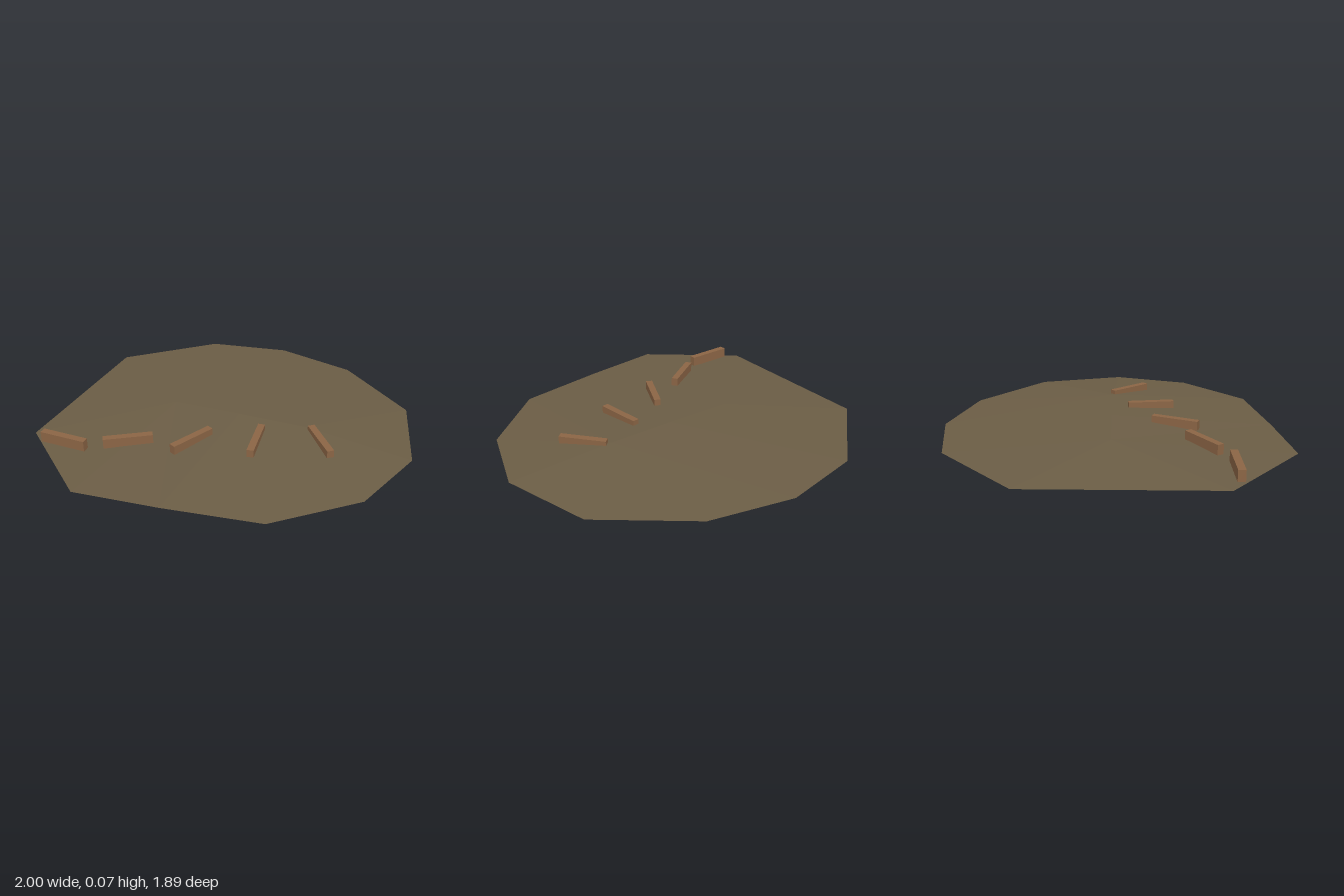
import * as THREE from 'three';

const soil = new THREE.MeshStandardMaterial({ color: 0x6b5d45 });
soil.name = 'soil';
soil.flatShading = true;
const wood = new THREE.MeshStandardMaterial({ color: 0x8b6545 });
wood.name = 'wood';

// Low earth mound: an uneven twelve-sided rim rising to a short ridge
function moundGeometry() {
  const ridge = [[0.4, 0.044, -0.01], [0, 0.04, -0.01], [-0.4, 0.03, -0.01]];
  // x, z, index of the ridge point this corner rises to (counter-clockwise from above)
  const rim = [
    [1, 0.03, 0], [0.866, -0.475, 0], [0.417, -0.835, 0], [-0.055, -0.95, 1],
    [-0.525, -0.868, 2], [-0.988, -0.46, 2], [-0.994, 0.04, 2], [-1, 0.545, 2],
    [-0.52, 0.94, 2], [-0.055, 0.89, 1], [0.465, 0.812, 0], [0.853, 0.47, 0],
  ];
  const pos = [];
  rim.forEach(([x, z, r], i) => {
    const [nx, nz, nr] = rim[(i + 1) % rim.length];
    pos.push(x, 0, z, nx, 0, nz, ...ridge[r]);
    if (nr !== r) pos.push(nx, 0, nz, ...ridge[nr], ...ridge[r]);
    // underside
    pos.push(nx, 0, nz, x, 0, z, 0, 0, 0);
  });
  const g = new THREE.BufferGeometry();
  g.setAttribute('position', new THREE.Float32BufferAttribute(pos, 3));
  g.computeVertexNormals();
  return g;
}

export function createModel() {
  const model = new THREE.Group();
  model.name = 'moundWithPlanks';

  const mound = new THREE.Mesh(moundGeometry(), soil);
  mound.name = 'mound';
  model.add(mound);

  // Planks laid in an arc, each turned a little further
  const plank = new THREE.BoxGeometry(0.268, 0.06, 0.039);
  const spots = [[-0.778, 0.594], [-0.455, 0.468], [-0.135, 0.343], [0.19, 0.22], [0.515, 0.098]];
  spots.forEach(([x, z], i) => {
    const m = new THREE.Mesh(plank, wood);
    m.name = `plank${i + 1}`;
    m.position.set(x, 0.036, z);
    m.rotation.y = i * 0.567;
    model.add(m);
  });

  return model;
}
